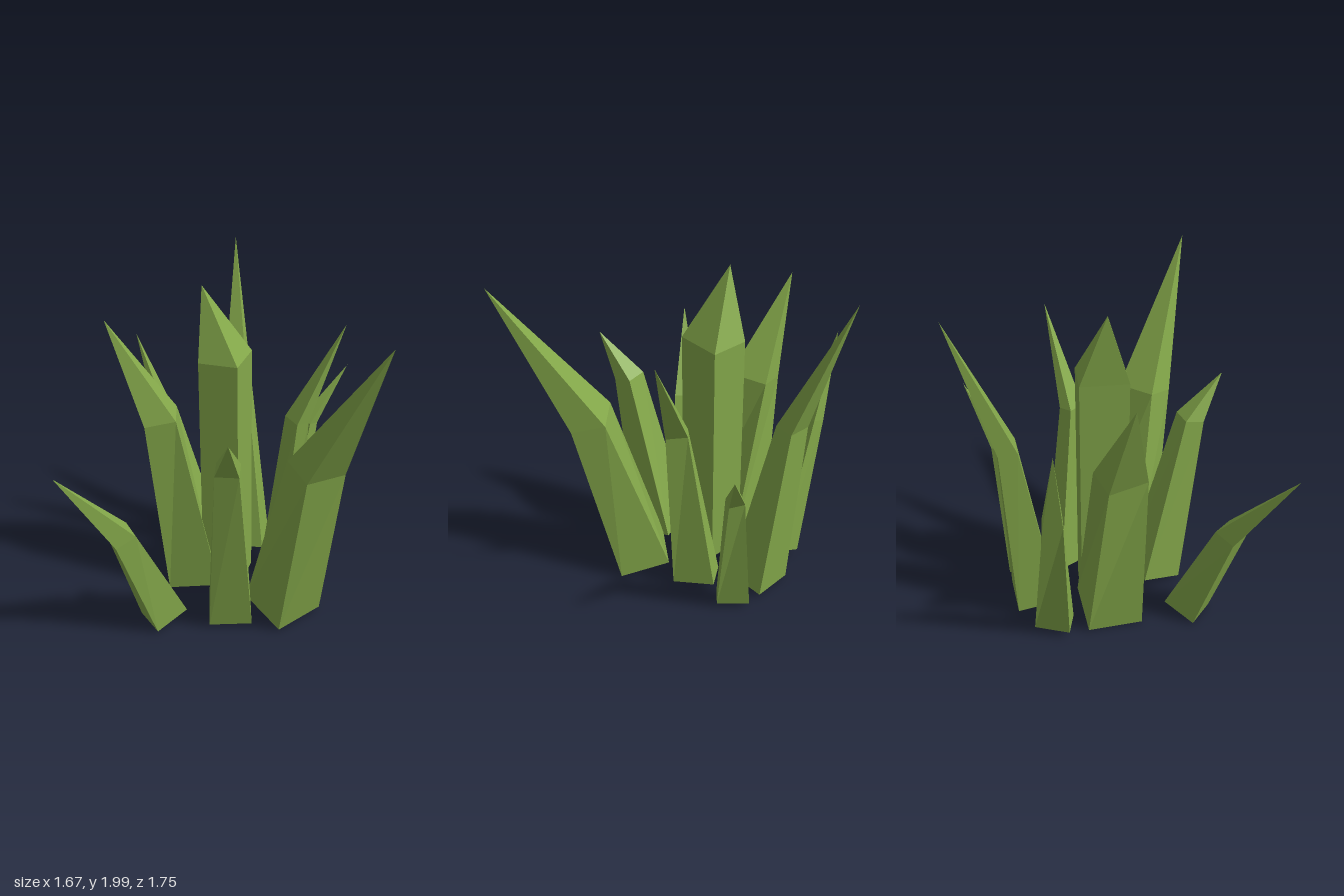
import * as THREE from 'three';

const leafGreen = new THREE.MeshStandardMaterial({ color: 0x84a84a, flatShading: true });
leafGreen.name = 'leafGreen';

// Four corners around a centre, turned by yaw and tilted square to the lean.
function ring([x, y, z], [width, depth, yaw], leanX, leanZ) {
  const c = Math.cos(yaw), s = Math.sin(yaw);
  return [[1, 1], [1, -1], [-1, -1], [-1, 1]].map(([i, j]) => {
    const u = i * width / 2, v = j * depth / 2;
    const dx = u * c + v * s, dz = v * c - u * s;
    return [x + dx, y - dx * leanX - dz * leanZ, z + dz];
  });
}

// A leaf blade: closed foot, tapering four-sided stalk, and a spike bent outward.
// Sections are [width, depth, yaw].
function makeBlade(name, foot, footSection, bend, bendSection, tip) {
  const rise = bend[1] - foot[1];
  const leanX = (bend[0] - foot[0]) / rise, leanZ = (bend[2] - foot[2]) / rise;
  const low = ring(foot, footSection, leanX, leanZ);
  const high = ring(bend, bendSection, leanX, leanZ);
  const points = [];
  const tri = (...corners) => corners.forEach((p) => points.push(...p));
  // corners run clockwise from above through i -> n, seen from outside right to left
  for (let i = 0; i < 4; i++) {
    const n = (i + 1) % 4;
    tri(low[i], low[n], high[n]);
    tri(low[i], high[n], high[i]);
    tri(high[i], high[n], tip);
  }
  tri(low[0], low[2], low[1]);
  tri(low[0], low[3], low[2]);
  const geometry = new THREE.BufferGeometry();
  geometry.setAttribute('position', new THREE.Float32BufferAttribute(points, 3));
  geometry.computeVertexNormals();
  const mesh = new THREE.Mesh(geometry, leafGreen);
  mesh.name = name;
  return mesh;
}

export function createModel() {
  const group = new THREE.Group();
  group.name = 'grassTuft';
  group.add(
    // Middle blades
    makeBlade('centreBlade', [-0.12, 0.05, -0.028], [0.23, 0.277, -0.11],
      [-0.12, 1.53, -0.028], [0.23, 0.277, -0.11], [-0.25, 1.94, -0.03]),
    makeBlade('leaningBlade', [-0.30, 0.03, -0.025], [0.32, 0.33, 0],
      [-0.515, 1.12, -0.02], [0.185, 0.24, 0.24], [-0.83, 1.70, -0.03]),
    makeBlade('slimBlade', [0.191, 0.048, -0.18], [0.153, 0.253, 0.53],
      [0.285, 1.13, -0.121], [0.08, 0.125, 0.75], [0.54, 1.70, -0.22]),
    // Back blades
    makeBlade('tallBackBlade', [-0.08, 0.035, -0.45], [0.26, 0.25, 0],
      [-0.16, 1.17, -0.58], [0.145, 0.11, -0.05], [-0.23, 1.99, -0.88]),
    makeBlade('backLeftBlade', [0.172, 0.04, -0.465], [0.113, 0.195, 0.73],
      [0.302, 0.905, -0.568], [0.07, 0.09, 1.0], [0.52, 1.24, -0.74]),
    makeBlade('backRightBlade', [-0.397, 0.06, -0.388], [0.125, 0.21, -0.4],
      [-0.60, 0.945, -0.414], [0.08, 0.11, -0.15], [-0.77, 1.47, -0.43]),
    // Front blades
    makeBlade('frontRightBlade', [-0.414, 0.045, 0.438], [0.20, 0.205, 0.77],
      [-0.585, 0.68, 0.615], [0.12, 0.15, 0.67], [-0.84, 1.16, 0.87]),
    makeBlade('frontBlade', [-0.03, 0.045, 0.33], [0.25, 0.247, 0.225],
      [0.009, 1.12, 0.5425], [0.133, 0.115, 0.12], [0.055, 1.37, 0.74]),
    makeBlade('frontLeftBlade', [0.272, 0.0475, 0.21], [0.33, 0.30, 0.89],
      [0.464, 1.10, 0.389], [0.245, 0.197, 0.70], [0.835, 1.94, 0.72]),
  );
  return group;
}
